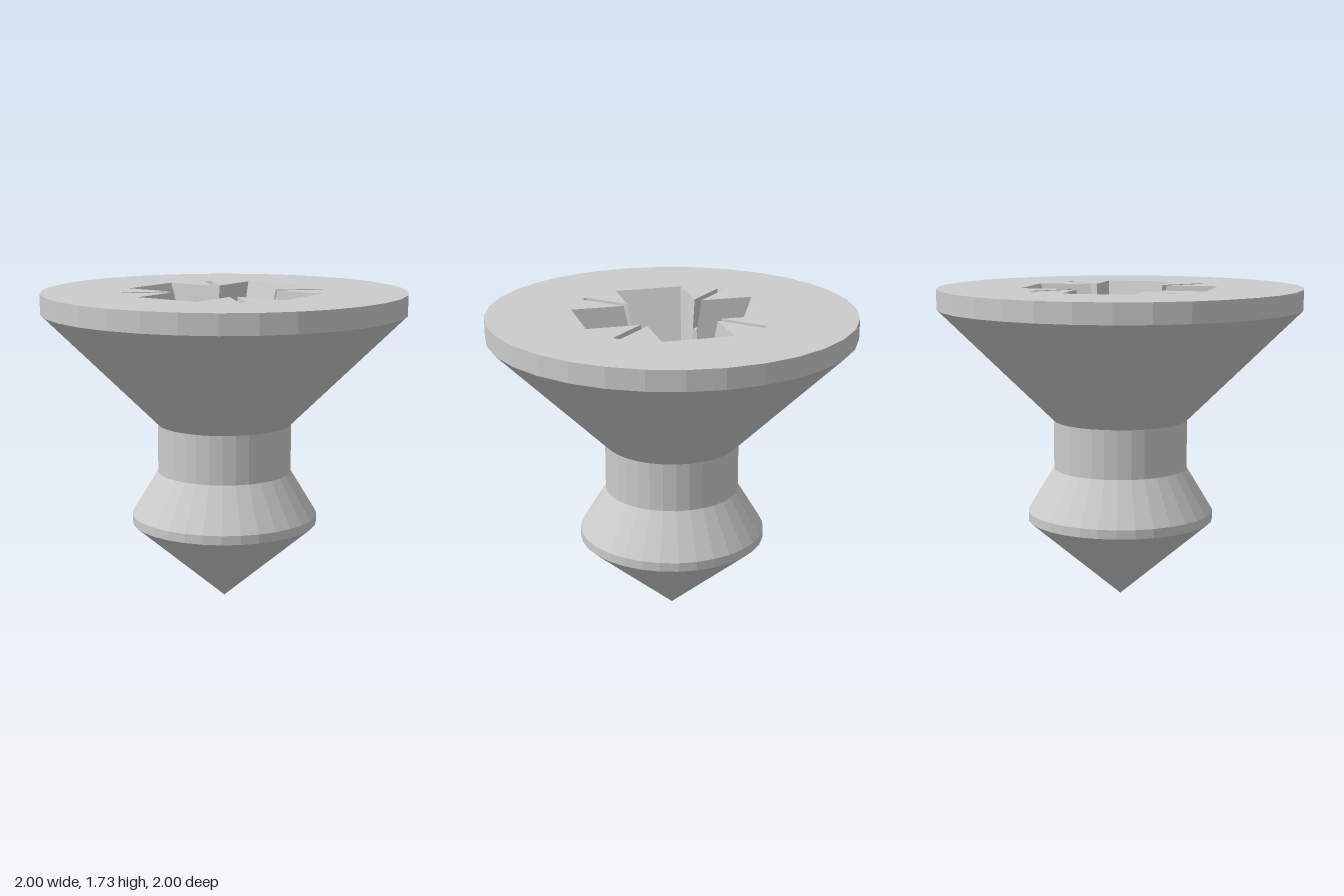
import * as THREE from 'three';

const SEGMENTS = 32;
const TOP = 1.73;        // head face
const SLOT_Y = 1.57;     // floor of the thin diagonal slots
const FLOOR_Y = 1.13;    // floor of the cross recess
const CONE_Y = 1.0;      // tip of the drilled centre

const material = new THREE.MeshStandardMaterial({
  color: 0xcccccc, flatShading: true, side: THREE.DoubleSide,
});

// Non-indexed geometry from planar convex polygons, each a list of [x, y, z]
function polygons(list) {
  const pos = [];
  for (const p of list) {
    for (let i = 1; i < p.length - 1; i++) pos.push(...p[0], ...p[i], ...p[i + 1]);
  }
  const g = new THREE.BufferGeometry();
  g.setAttribute('position', new THREE.Float32BufferAttribute(pos, 3));
  g.computeVertexNormals();
  return g;
}

// Swap x and z: reflection across the diagonal of a quadrant
const mirror = ([x, y, z]) => [z, y, x];
const mirrorFace = (face) => face.map(mirror).reverse();

// Point at radius r along the diagonal, offset w sideways
const diagonal = (r, w, y) => [(r + w) * Math.SQRT1_2, y, (r - w) * Math.SQRT1_2];

// Corners of one quadrant, on the +x side of its diagonal
const armTop = [0.51, TOP, 0.19];
const armFloor = [0.26, FLOOR_Y, 0.125];
const mouthTop = [0.22, TOP, 0.19];
const mouthMid = [0.189, SLOT_Y, 0.172];
const mouthFloor = [0.19, FLOOR_Y, 0.125];
const tipTop = diagonal(0.56, 0.021, TOP);
const tipMid = diagonal(0.5, 0.012, SLOT_Y);

// Closed outline in the xz plane: the quadrant's points repeated by quarter turns
function outline(halfQuadrant) {
  const quadrant = [...halfQuadrant, ...halfQuadrant.map(mirror).reverse()];
  const points = [];
  for (let k = 0; k < 4; k++) {
    const c = [1, 0, -1, 0][k], s = [0, 1, 0, -1][k];
    for (const [x, , z] of quadrant) points.push(new THREE.Vector2(x * c - z * s, x * s + z * c));
  }
  return points;
}

function circle(radius) {
  return Array.from({ length: SEGMENTS }, (_, i) => {
    const a = (i / SEGMENTS) * Math.PI * 2;
    return new THREE.Vector2(radius * Math.cos(a), radius * Math.sin(a));
  });
}

// Horizontal face with a hole, looking up
function flatFace(outer, hole, y) {
  const shape = new THREE.Shape(outer);
  shape.holes.push(new THREE.Path(hole));
  return new THREE.ShapeGeometry(shape).rotateX(-Math.PI / 2).translate(0, y, 0);
}

export function createModel() {
  const model = new THREE.Group();
  model.name = 'screw';
  const add = (name, geometry, parent = model) => {
    const mesh = new THREE.Mesh(geometry, material);
    mesh.name = name;
    parent.add(mesh);
    return mesh;
  };

  // Turned body: point, collar, neck, countersunk head and rim
  const profile = [[0, 0], [0.515, 0.44], [0.515, 0.49], [0.37, 0.73], [0.37, 1], [1, 1.62], [1, TOP]]
    .map(([x, y]) => new THREE.Vector2(x, y));
  add('body', new THREE.LatheGeometry(profile, SEGMENTS));

  // Head face, cut by the cross and its four thin slots
  add('headFace', flatFace(circle(1), outline([armTop, mouthTop, tipTop]), TOP));

  // Recess walls, one quadrant at a time
  const sideWall = [armTop, armFloor, mouthFloor, mouthMid, mouthTop];
  const slotWall = [mouthTop, mouthMid, tipMid, tipTop];
  const flip = ([x, y, z]) => [x, y, -z];
  const quadrant = polygons([
    sideWall, mirrorFace(sideWall),
    slotWall, mirrorFace(slotWall),
    [tipTop, tipMid, mirror(tipMid), mirror(tipTop)],                // slot end
    [mouthMid, mirror(mouthMid), mirror(tipMid), tipMid],            // slot floor
    [mouthMid, mouthFloor, mirror(mouthFloor), mirror(mouthMid)],    // corner facet
    [armTop, flip(armTop), flip(armFloor), armFloor],                // arm end
  ]);
  const recess = new THREE.Group();
  recess.name = 'driveRecess';
  model.add(recess);
  for (let k = 0; k < 4; k++) {
    add('recessWalls', quadrant, recess).rotation.y = (k * Math.PI) / 2;
  }

  // Recess floor with a shallow conical centre
  add('recessFloor', flatFace(outline([armFloor, mouthFloor]), circle(0.215), FLOOR_Y), recess);
  const cone = [new THREE.Vector2(0, CONE_Y), new THREE.Vector2(0.215, FLOOR_Y)];
  const coneGeometry = new THREE.LatheGeometry(cone, SEGMENTS);
  // Reverse the faces so the cone is seen from inside
  coneGeometry.index.array.reverse();
  add('recessCone', coneGeometry, recess);

  return model;
}
